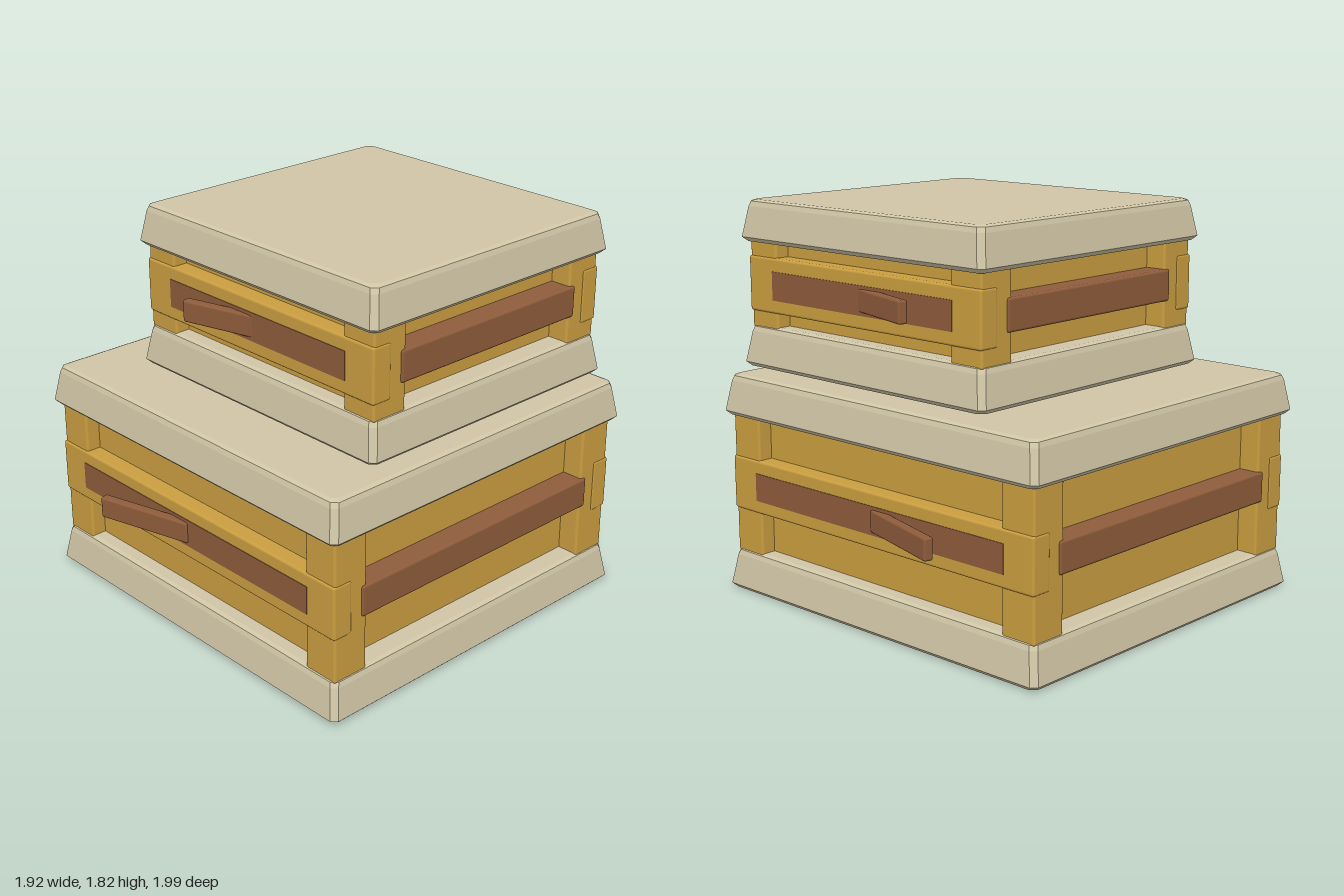
import * as THREE from 'three';
import { RoundedBoxGeometry } from 'three/addons/geometries/RoundedBoxGeometry.js';

const mat = (name, color) => {
  const m = new THREE.MeshStandardMaterial({ color });
  m.name = name;
  return m;
};

// Tapered slab: stacked rectangles with cut corners, chamfered at top and bottom
function slabGeometry(hx, hz, h) {
  const rings = [[0, 0.02], [0.02, 0], [h - 0.03, 0.024], [h - 0.008, 0.032], [h, 0.05]].map(([y, inset]) => {
    const x = hx - inset, z = hz - inset, c = 0.025;
    return [[x, z - c], [x - c, z], [c - x, z], [-x, z - c], [-x, c - z], [c - x, -z], [x - c, -z], [x, c - z]]
      .map(([px, pz]) => [px, y, pz]);
  });
  const pos = [];
  const tri = (a, b, c) => pos.push(...a, ...b, ...c);
  for (let r = 0; r < rings.length - 1; r++) {
    for (let i = 0; i < 8; i++) {
      const j = (i + 1) % 8, lo = rings[r], hi = rings[r + 1];
      tri(lo[i], hi[j], lo[j]);
      tri(lo[i], hi[i], hi[j]);
    }
  }
  const bottom = rings[0], top = rings[rings.length - 1];
  for (let i = 1; i < 7; i++) {
    tri(bottom[0], bottom[i], bottom[i + 1]);
    tri(top[0], top[i + 1], top[i]);
  }
  const g = new THREE.BufferGeometry();
  g.setAttribute('position', new THREE.Float32BufferAttribute(pos, 3));
  g.computeVertexNormals();
  return g;
}

export function createModel() {
  const stone = mat('pale tan', 0xd0c5a6);
  const wood = mat('golden wood', 0xca9e40);
  const brown = mat('brown wood', 0x8e5c3b);
  const model = new THREE.Group();

  function crate(name, { hx, hz, cx, cz, base, lid, height, handle }) {
    const group = new THREE.Group();
    group.name = name;
    group.position.set(cx, base, cz);
    model.add(group);
    const add = (part, geometry, material, x, y, z) => {
      const mesh = new THREE.Mesh(geometry, material);
      mesh.name = part;
      mesh.position.set(x, y, z);
      group.add(mesh);
      return mesh;
    };
    const block = (w, h, d, r = 0.012) => new RoundedBoxGeometry(w, h, d, 2, r);

    // Base and lid slabs
    const slabH = 0.19;
    add('baseSlab', slabGeometry(hx, hz, slabH), stone, 0, 0, 0);
    add('lidSlab', slabGeometry(hx, hz, height - lid), stone, 0, lid, 0);

    // Recessed inner body
    const bx = hx - 0.036, bz = hz - 0.038;
    const mid = (slabH + lid) / 2, bodyH = lid - slabH + 0.03;
    add('innerPanels', new THREE.BoxGeometry(2 * bx - 0.2, bodyH, 2 * bz - 0.14), wood, 0, mid, 0);

    for (const s of [-1, 1]) {
      // Corner posts
      for (const t of [-1, 1]) {
        add('cornerPost', block(0.175, bodyH, 0.178), wood, s * (bx - 0.0875), mid, t * (bz - 0.089));
      }
      // Front and back rails with inlaid strips
      add('rail', block(2 * bx + 0.008, 0.25, 0.1), wood, 0, mid, s * (bz - 0.042));
      add('inlayStrip', new THREE.BoxGeometry(2 * (bx - 0.156), 0.13, 0.006), brown, 0, mid, s * (bz + 0.008));
      // Bars on the left and right sides
      add('sideBar', block(0.13, 0.144, 2 * (bz - 0.148)), brown, s * (bx - 0.055), mid, 0);
      // Angled handles
      const grip = add('handle', block(handle.length, 0.1, 0.044, 0.01), brown,
        handle.x - cx, mid, s * handle.z);
      grip.rotation.y = s * 0.27;
    }
  }

  crate('lowerCrate', {
    hx: 0.96, hz: 0.893, cx: 0, cz: 0, base: 0, lid: 0.83, height: 1.02,
    handle: { length: 0.475, x: -0.235, z: 0.915 },
  });
  crate('upperCrate', {
    hx: 0.75, hz: 0.718, cx: 0.132, cz: -0.108, base: 1.06, lid: 0.568, height: 0.755,
    handle: { length: 0.368, x: -0.048, z: 0.717 },
  });
  return model;
}
